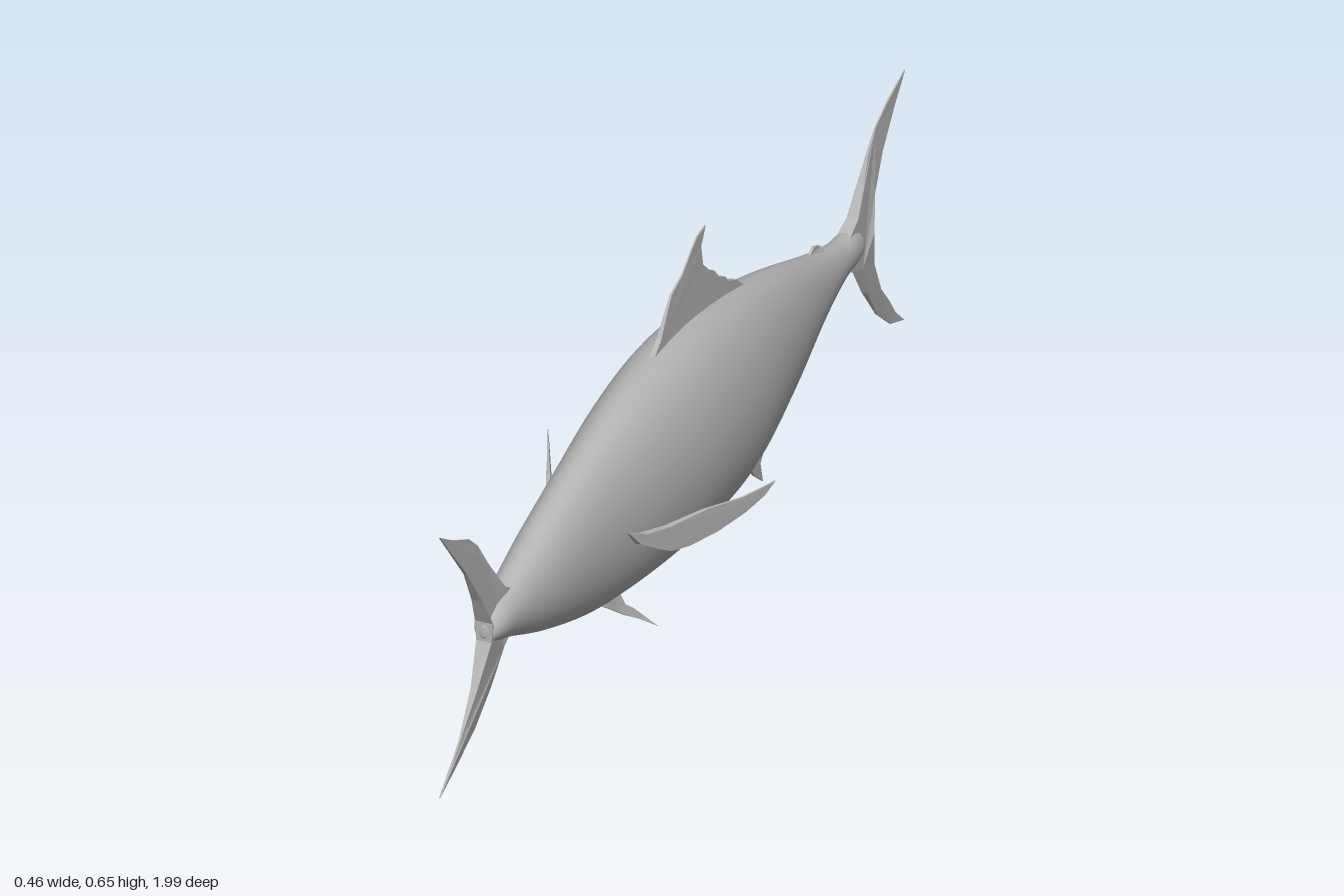
import * as THREE from 'three';

export function createModel() {
  const fish = new THREE.Group();
  const skin = new THREE.MeshStandardMaterial({ color: 0xb4b4b4, side: THREE.DoubleSide });
  skin.name = 'grey skin';

  function add(name, geometry) {
    const mesh = new THREE.Mesh(geometry, skin);
    mesh.name = name;
    fish.add(mesh);
    return mesh;
  }

  // Body stations: z, top y, bottom y, half width
  const stations = [
    [0.812, 0.29, 0.27, 0.004], [0.805, 0.302, 0.258, 0.02], [0.78, 0.317, 0.247, 0.031],
    [0.73, 0.335, 0.23, 0.038], [0.6, 0.378, 0.177, 0.058], [0.4, 0.437, 0.115, 0.078],
    [0.2, 0.48, 0.085, 0.1], [0, 0.498, 0.073, 0.112], [-0.2, 0.477, 0.083, 0.104],
    [-0.4, 0.43, 0.142, 0.075], [-0.6, 0.366, 0.222, 0.04], [-0.7, 0.341, 0.258, 0.029],
    [-0.75, 0.338, 0.264, 0.026], [-0.78, 0.325, 0.272, 0.02], [-0.79, 0.305, 0.29, 0.004],
  ];
  const spineTop = new THREE.CatmullRomCurve3(stations.map(([z, t, , w]) => new THREE.Vector3(w, t, z)));
  const spineBottom = new THREE.CatmullRomCurve3(stations.map(([z, , b, w]) => new THREE.Vector3(w, b, z)));
  const rings = 84, sides = 36;
  const body = new THREE.PlaneGeometry(1, 1, sides, rings);
  const p = body.attributes.position;
  for (let i = 0; i <= rings; i++) {
    const a = spineTop.getPoint(i / rings), b = spineBottom.getPoint(i / rings);
    for (let j = 0; j <= sides; j++) {
      const t = (j / sides) * Math.PI * 2;
      p.setXYZ(i * (sides + 1) + j, Math.sin(t) * a.x,
        (a.y + b.y) / 2 - Math.cos(t) * (a.y - b.y) / 2, (a.z + b.z) / 2);
    }
  }
  body.computeVertexNormals();
  // Weld the shading along the belly seam
  const n = body.attributes.normal;
  for (let i = 0; i <= rings; i++) {
    for (const j of [0, sides]) {
      const k = i * (sides + 1) + j;
      const v = new THREE.Vector3(0, n.getY(k), n.getZ(k)).normalize();
      n.setXYZ(k, v.x, v.y, v.z);
    }
  }
  add('body', body);

  // Thin fin from a (z, y) outline; place(z, y) gives its centre x, thick(z, y) its half thickness
  function fin(name, outline, thick, place = () => 0) {
    const shape = new THREE.Shape(outline.map(([z, y]) => new THREE.Vector2(z, y)));
    const g = new THREE.ExtrudeGeometry(shape, { depth: 1, bevelEnabled: false, steps: 1 });
    const q = g.attributes.position;
    for (let i = 0; i < q.count; i++) {
      const z = q.getX(i), y = q.getY(i), s = 1 - q.getZ(i) * 2;
      q.setXYZ(i, place(z, y) + s * thick(z, y), y, z);
    }
    g.computeVertexNormals();
    return add(name, g);
  }
  const { clamp, mapLinear } = THREE.MathUtils;

  // Forked fins at both ends, thick at the root and fine at the tips
  const forkThickness = (z, y) => 0.0015 + 0.018 * Math.pow(clamp(1 - Math.abs(y - 0.29) / 0.2, 0, 1), 1.5);
  fin('rearTailFin', [
    [-0.73, 0.335], [-0.77, 0.355], [-0.805, 0.41], [-0.83, 0.455], [-0.865, 0.495], [-0.92, 0.525], [-0.992, 0.553],
    [-0.95, 0.505], [-0.89, 0.435], [-0.845, 0.37], [-0.825, 0.3], [-0.84, 0.225],
    [-0.875, 0.16], [-0.925, 0.105], [-0.95, 0.07], [-0.988, 0.035], [-0.93, 0.055],
    [-0.87, 0.105], [-0.82, 0.175], [-0.785, 0.245], [-0.73, 0.265],
  ], forkThickness);
  fin('frontForkFin', [
    [0.72, 0.33], [0.745, 0.345], [0.8, 0.417], [0.84, 0.475], [0.875, 0.505], [0.94, 0.535], [1, 0.57],
    [0.95, 0.51], [0.89, 0.44], [0.84, 0.36], [0.81, 0.3], [0.81, 0.26],
    [0.85, 0.185], [0.91, 0.11], [0.95, 0.07], [1, 0.028], [0.92, 0.065],
    [0.85, 0.1], [0.79, 0.155], [0.745, 0.22], [0.72, 0.24],
  ], forkThickness);

  // Dorsal fin with its ragged trailing edge
  fin('dorsalFin', [
    [0.1, 0.485], [0.06, 0.515], [0.035, 0.55], [0.01, 0.582], [-0.04, 0.602], [-0.075, 0.63],
    [-0.1, 0.648], [-0.138, 0.655], [-0.118, 0.62], [-0.125, 0.58], [-0.15, 0.555],
    [-0.17, 0.545], [-0.19, 0.522], [-0.215, 0.51], [-0.23, 0.493], [-0.26, 0.482],
    [-0.28, 0.465], [-0.3, 0.45], [-0.2, 0.465], [-0.1, 0.48], [0, 0.485],
  ], (z, y) => mapLinear(clamp(y, 0.48, 0.6), 0.48, 0.6, 0.006, 0.0015));

  // Finlet ahead of the tail
  fin('backFinlet', [
    [-0.54, 0.38], [-0.58, 0.369], [-0.6, 0.38], [-0.625, 0.37], [-0.635, 0.35], [-0.68, 0.34], [-0.6, 0.345],
  ], (z, y) => (y < 0.36 ? 0.012 : 0.003));

  // Anal fin and the serrated keel behind it
  fin('analFin', [
    [-0.26, 0.105], [-0.28, 0.088], [-0.32, 0.06], [-0.345, 0.03], [-0.383, 0], [-0.368, 0.045],
    [-0.385, 0.07], [-0.4, 0.098], [-0.425, 0.1], [-0.44, 0.122], [-0.465, 0.125], [-0.48, 0.15],
    [-0.505, 0.152], [-0.525, 0.178], [-0.55, 0.182], [-0.57, 0.207], [-0.595, 0.205],
    [-0.625, 0.235], [-0.5, 0.19], [-0.38, 0.14],
  ], (z, y) => 0.0015 + clamp(y, 0, 0.1) * 0.04);

  for (const [side, s] of [['left', 1], ['right', -1]]) {
    // Pectoral fin sweeping out and back
    fin(side + 'PectoralFin', [
      [0.37, 0.285], [0.33, 0.268], [0.28, 0.263], [0.2, 0.268], [0.12, 0.262], [0.08, 0.266], [0.05, 0.27],
      [0.07, 0.247], [0.11, 0.226], [0.17, 0.209], [0.23, 0.203], [0.27, 0.208], [0.3, 0.225], [0.34, 0.25],
    ], (z) => 0.0015 + 0.007 * clamp((z - 0.1) / 0.25, 0, 1),
    (z, y) => s * (mapLinear(z, 0.05, 0.36, 0.226, 0.078) + (y - 0.24) * 0.1));

    // Pelvic fin splaying down and back
    fin(side + 'PelvicFin', [
      [0.36, 0.115], [0.32, 0.088], [0.29, 0.065], [0.25, 0.04], [0.215, 0.013],
      [0.24, 0.045], [0.262, 0.068], [0.28, 0.082], [0.29, 0.11],
    ], (z, y) => 0.0012 + clamp(y - 0.04, 0, 0.06) * 0.06,
    (z, y) => s * (0.07 - 0.046 * Math.pow(clamp((y - 0.013) / 0.09, 0, 1), 0.8)));
  }
  return fish;
}
